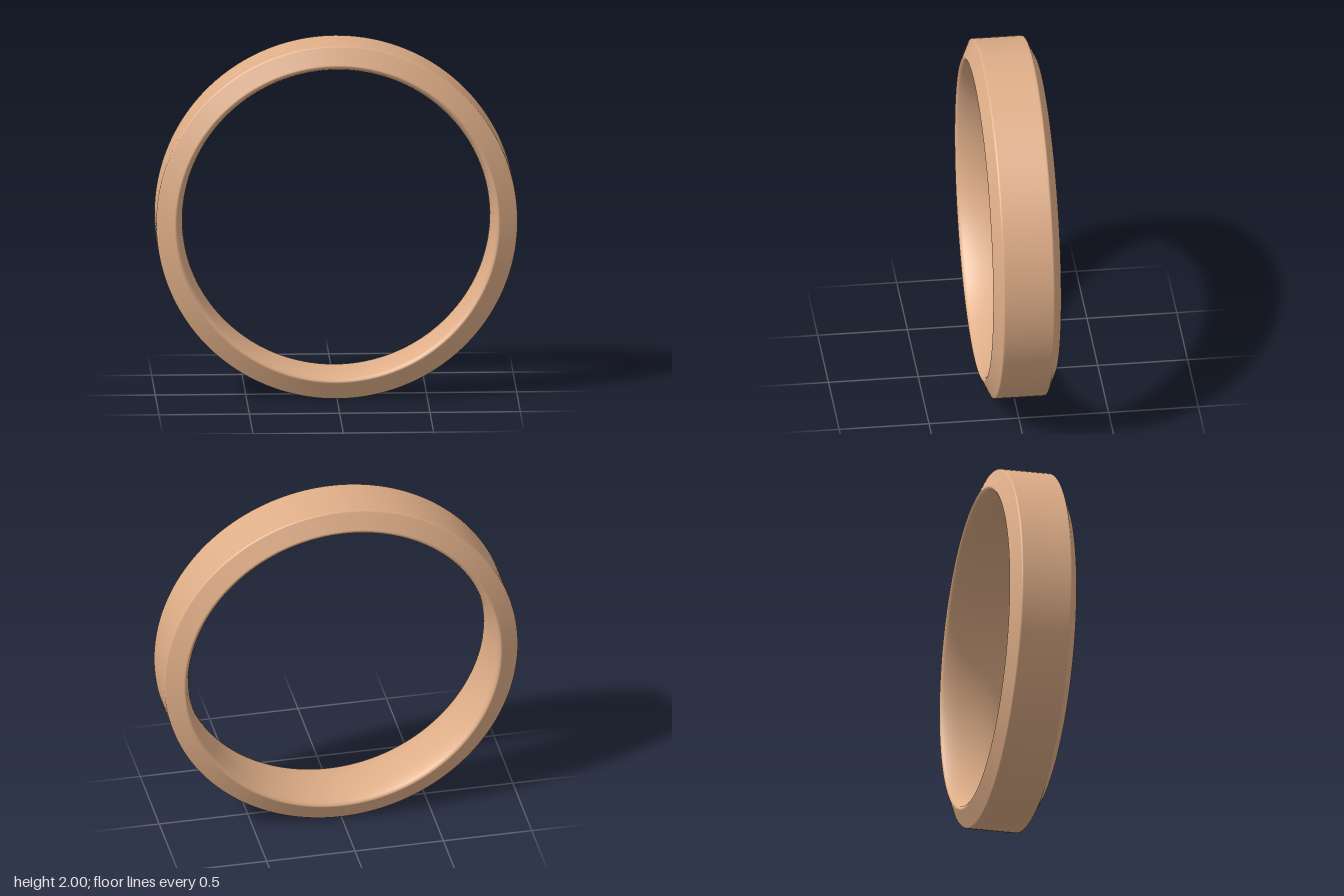
import * as THREE from 'three';

// Replace a sharp profile corner with a small fillet; the guard points keep the flats flat.
function fillet(prev, corner, next, r) {
  const toPrev = prev.clone().sub(corner).normalize();
  const toNext = next.clone().sub(corner).normalize();
  const at = (dir, d) => corner.clone().addScaledVector(dir, d);
  const curve = new THREE.QuadraticBezierCurve(at(toPrev, r), corner, at(toNext, r));
  return [at(toPrev, r * 1.3), ...curve.getPoints(5), at(toNext, r * 1.3)];
}

export function createModel() {
  const model = new THREE.Group();
  const v = (r, z) => new THREE.Vector2(r, z);

  // Half section: outer wall, sloped shoulder, rounded rim, gently domed bore
  const wall = v(1, 0), shoulder = v(1, 0.141), rim = v(0.895, 0.191), lip = v(0.879, 0.181);
  const bore = new THREE.QuadraticBezierCurve(lip, v(0.85, 0.12), v(0.85, 0));
  const half = [
    wall,
    ...fillet(wall, shoulder, rim, 0.008),
    ...fillet(shoulder, rim, lip, 0.007),
    ...bore.getPoints(12),
  ];

  // Mirror the half section to close the loop
  const mirrored = half.slice(0, -1).reverse().map((p) => v(p.x, -p.y));
  const geometry = new THREE.LatheGeometry([...half, ...mirrored], 160);
  geometry.rotateX(Math.PI / 2);

  const ring = new THREE.Mesh(geometry, new THREE.MeshStandardMaterial({ color: 0xdfae88 }));
  ring.name = 'ringBand';
  ring.position.y = 1;
  model.add(ring);
  return model;
}
